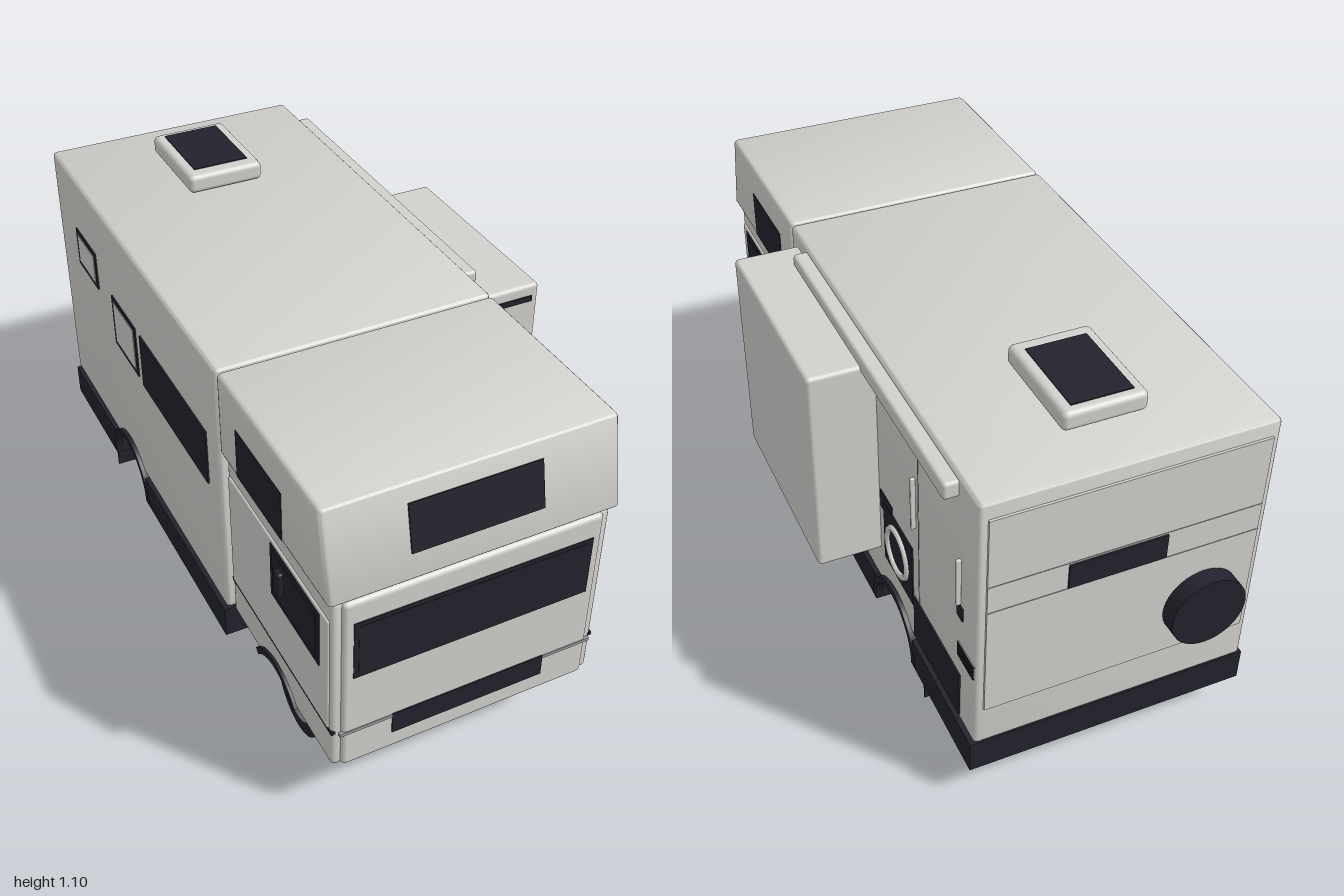
import * as THREE from 'three';
import { RoundedBoxGeometry } from 'three/addons/geometries/RoundedBoxGeometry.js';
import { toCreasedNormals } from 'three/addons/utils/BufferGeometryUtils.js';

const paint = (name, color) => {
  const m = new THREE.MeshStandardMaterial({ color });
  m.name = name;
  return m;
};

export function createModel() {
  const shell = paint('warm grey shell', 0xd2d0cc);
  const dark = paint('near black trim', 0x22222d);
  const metal = paint('grey metal', 0x9b9ea0);
  const root = new THREE.Group();
  root.name = 'camper';

  const CX = -0.0875, HALF = 0.3975;   // centre line and half width of the body
  const AXLE = 0.122, WELL = 0.14;     // axle height and wheel well radius

  const add = (name, geo, mat, x = 0, y = 0, z = 0) => {
    const mesh = new THREE.Mesh(geo, mat);
    mesh.name = name;
    mesh.position.set(x, y, z);
    root.add(mesh);
    return mesh;
  };
  // Box from its ranges, with optional rounded edges
  const box = (name, mat, [x0, x1], [y0, y1], [z0, z1], r = 0) => {
    const s = [Math.abs(x1 - x0), y1 - y0, Math.abs(z1 - z0)];
    const geo = r ? new RoundedBoxGeometry(...s, 3, r) : new THREE.BoxGeometry(...s);
    return add(name, geo, mat, (x0 + x1) / 2, (y0 + y1) / 2, (z0 + z1) / 2);
  };
  // Range on one side (s = 1 or -1), measured from the centre line
  const side = (s, a, b) => [CX + s * a, CX + s * b];

  // Side profile drawn in (z, y) and extruded across the width
  const profile = (name, mat, shape, width, bevel, x = CX) => {
    const geo = new THREE.ExtrudeGeometry(shape, {
      depth: width - 2 * bevel, bevelEnabled: bevel > 0, bevelThickness: bevel,
      bevelSize: bevel, bevelOffset: -bevel, bevelSegments: 3, curveSegments: 24,
    });
    geo.translate(0, 0, bevel - width / 2).rotateY(-Math.PI / 2);
    return add(name, toCreasedNormals(geo, 0.6), mat, x);
  };
  // Outline with softened corners and an optional wheel well at z = wheel
  const outline = (z0, z1, y0, y1, slope = 0, wheel = null) => {
    const r = 0.015, s = new THREE.Shape();
    s.moveTo(z0 + r, y0);
    if (wheel !== null) {
      const a = Math.asin((y0 - AXLE) / WELL);
      s.lineTo(wheel - WELL * Math.cos(a), y0);
      s.absarc(wheel, AXLE, WELL, Math.PI - a, a, true);
    }
    s.lineTo(z1 - r, y0);
    s.quadraticCurveTo(z1, y0, z1 - slope * 0.06, y0 + r);
    s.lineTo(z1 - slope * 0.94, y1 - r);
    s.quadraticCurveTo(z1 - slope, y1, z1 - slope - r, y1);
    s.lineTo(z0 + r, y1);
    s.quadraticCurveTo(z0, y1, z0, y1 - r);
    s.lineTo(z0, y0 + r);
    s.quadraticCurveTo(z0, y0, z0 + r, y0);
    return s;
  };

  // Living body, cab and over-cab bunk
  const FRONT = 0.662, REAR = -0.41;
  profile('livingBody', shell, outline(-0.945, 0.367, 0.217, 1.037, 0, REAR), HALF * 2, 0.012);
  profile('cab', shell, outline(0.375, 0.985, 0.217, 0.778, 0, FRONT), 0.76, 0.012);
  profile('overCabBunk', shell, outline(0.373, 1.0, 0.784, 1.037, 0.055), HALF * 2, 0.014);
  box('bodyJoint', shell, side(1, -0.36, 0.36), [0.24, 1.02], [0.34, 0.4]);
  box('bunkJoint', shell, side(1, -0.35, 0.35), [0.76, 0.8], [0.4, 0.95]);
  box('frontWellCore', shell, side(1, -0.235, 0.235), [0.217, 0.3], [FRONT - 0.16, FRONT + 0.16]);
  box('rearWellCore', shell, side(1, -0.235, 0.235), [0.217, 0.3], [REAR - 0.16, REAR + 0.16]);
  box('cabFascia', shell, side(1, -0.357, 0.357), [0.217, 0.777], [0.93, 0.997], 0.014);

  // Skirted chassis, leaving the rear wheels free
  box('chassisMiddle', dark, side(1, -0.407, 0.407), [0.115, 0.215], [REAR + WELL, 0.367]);
  box('chassisTail', dark, side(1, -0.407, 0.407), [0.115, 0.215], [-0.942, REAR - WELL]);
  box('chassisCore', dark, side(1, -0.235, 0.235), [0.115, 0.215], [REAR - WELL, REAR + WELL]);

  // Front face details
  box('bunkWindow', dark, [-0.267, 0.092], [-0.066, 0.066], [-0.004, 0.004]).position.set(CX, 0.921, 0.97);
  root.getObjectByName('bunkWindow').rotation.x = -Math.atan(0.055 / 0.253);
  box('windscreen', dark, [-0.418, 0.243], [0.527, 0.71], [0.992, 0.999]);
  box('windscreenInset', dark, [-0.405, 0.23], [0.54, 0.697], [0.993, 1.0]);
  box('bumperTrim', metal, side(1, -0.365, 0.365), [0.333, 0.343], [0.99, 0.999]);
  box('frontGrille', dark, [-0.307, 0.133], [0.277, 0.345], [0.992, 1.0]);

  for (const s of [1, -1]) {
    // Cab doors, windows, trim and mirrors
    box('cabDoor', shell, side(s, 0.37, 0.386), [0.346, 0.715], [0.39, 0.97], 0.005);
    box('cabGroove', dark, side(s, 0.37, 0.382), [0.334, 0.345], [0.378, 0.985]);
    box('cabWindow', dark, side(s, 0.383, 0.389), [0.533, 0.705], [0.657, 0.93]);
    box('cabWindowInset', dark, side(s, 0.385, 0.391), [0.548, 0.69], [0.672, 0.915]);
    box('bunkSideWindow', dark, side(s, 0.394, 0.4), [0.795, 0.94], [0.49, 0.753]);
    box('mirrorArm', dark, side(s, 0.38, 0.402), [0.645, 0.657], [0.738, 0.752]);
    box('mirror', dark, side(s, 0.398, 0.414), [0.614, 0.69], [0.728, 0.76], 0.006);

    // Wheels and arches
    for (const z of [FRONT, REAR]) {
      const tyre = new THREE.CylinderGeometry(0.12, 0.12, 0.075, 40).rotateZ(Math.PI / 2);
      add('tyre', tyre, dark, CX + s * 0.2845, 0.121, z);
      const hub = new THREE.CylinderGeometry(0.078, 0.078, 0.008, 32).rotateZ(Math.PI / 2);
      add('hub', hub, metal, CX + s * 0.321, 0.121, z);
      const a = z === FRONT ? 0.68 : 0.02, arch = new THREE.Shape();
      arch.absarc(z, AXLE, 0.158, a, Math.PI - a, false);
      arch.absarc(z, AXLE, 0.138, Math.PI - a, a, true);
      profile('wheelArch', dark, arch, 0.02, 0, CX + s * (z === FRONT ? 0.378 : 0.4));
    }
    box('mudFlap', dark, side(s, 0.31, 0.393), [0.027, 0.12], [-0.603, -0.597]);
  }

  // Slide-out room with its front slot and underside slats
  box('slideOut', shell, [0.3, 0.497], [0.345, 0.995], [-0.303, 0.322], 0.012);
  box('slideOutSlot', dark, [0.328, 0.474], [0.945, 0.961], [0.318, 0.327]);
  for (let i = 0; i < 14; i++) {
    const z = -0.27 + i * 0.042;
    box('slideOutSlat', dark, [0.315, 0.385], [0.342, 0.348], [z, z + 0.024]);
  }

  // Awning and roof hatch
  box('awning', shell, [0.3, 0.35], [0.975, 1.025], [-0.835, 0.235], 0.01);
  box('roofHatch', shell, [-0.203, 0.028], [1.04, 1.097], [-0.795, -0.483], 0.016);
  box('roofHatchBase', shell, [-0.18, 0.005], [1.03, 1.06], [-0.77, -0.51]);
  box('roofHatchGlass', dark, [-0.173, -0.003], [1.093, 1.1], [-0.768, -0.525]);

  // Entry side: service panels, door and handles
  const X = 0.31;
  const plate = (name, mat, y, z, out = 0.004) => box(name, mat, [X - 0.004, X + out], y, z);
  plate('storageHatch', dark, [0.24, 0.39], [-0.855, -0.555], 0.005);
  plate('servicePanel', dark, [0.35, 0.555], [-0.545, -0.34]);
  plate('servicePanelTab', dark, [0.52, 0.58], [-0.4, -0.315], 0.003);
  const ring = new THREE.TorusGeometry(0.07, 0.01, 8, 40).rotateY(Math.PI / 2);
  add('serviceRing', ring, shell, X + 0.005, 0.453, -0.442);
  plate('doorSeam', metal, [0.39, 0.95], [-0.587, -0.583], 0.001);
  box('doorHandle', shell, [X, X + 0.014], [0.65, 0.82], [-0.57, -0.56], 0.003);
  box('grabHandle', shell, [X, X + 0.014], [0.645, 0.795], [-0.856, -0.846], 0.003);
  plate('doorLock', dark, [0.598, 0.64], [-0.868, -0.835]);
  plate('sideVent', shell, [0.455, 0.505], [-0.935, -0.84], 0.002);
  for (let i = 0; i < 4; i++) {
    plate('ventSlot', dark, [0.457 + i * 0.0125, 0.465 + i * 0.0125], [-0.935, -0.84], 0.004);
  }

  // Far side: long window and two framed windows
  const XL = CX - HALF;
  box('longWindow', dark, [XL - 0.005, XL + 0.003], [0.615, 0.79], [-0.21, 0.285]);
  for (const [y0, y1, z0, z1] of [[0.735, 0.86, -0.76, -0.58], [0.62, 0.79, -0.45, -0.25]]) {
    box('framedWindowFrame', dark, [XL - 0.004, XL + 0.003], [y0, y1], [z0, z1]);
    box('framedWindowPanel', shell, [XL - 0.006, XL + 0.002], [y0 + 0.015, y1 - 0.015], [z0 + 0.015, z1 - 0.015]);
  }

  // Tail: raised panel, seams, window and spare wheel
  box('tailPanel', shell, side(1, -0.375, 0.375), [0.35, 0.99], [-0.952, -0.94]);
  for (const y of [0.695, 0.78]) {
    box('tailSeam', metal, side(1, -0.375, 0.375), [y - 0.0015, y + 0.0015], [-0.953, -0.95]);
  }
  box('tailWindow', dark, [-0.195, 0.075], [0.7, 0.775], [-0.957, -0.95]);
  const spare = new THREE.CylinderGeometry(0.108, 0.108, 0.06, 40).rotateX(Math.PI / 2);
  add('spareWheel', spare, dark, -0.318, 0.497, -0.97);

  return root;
}
